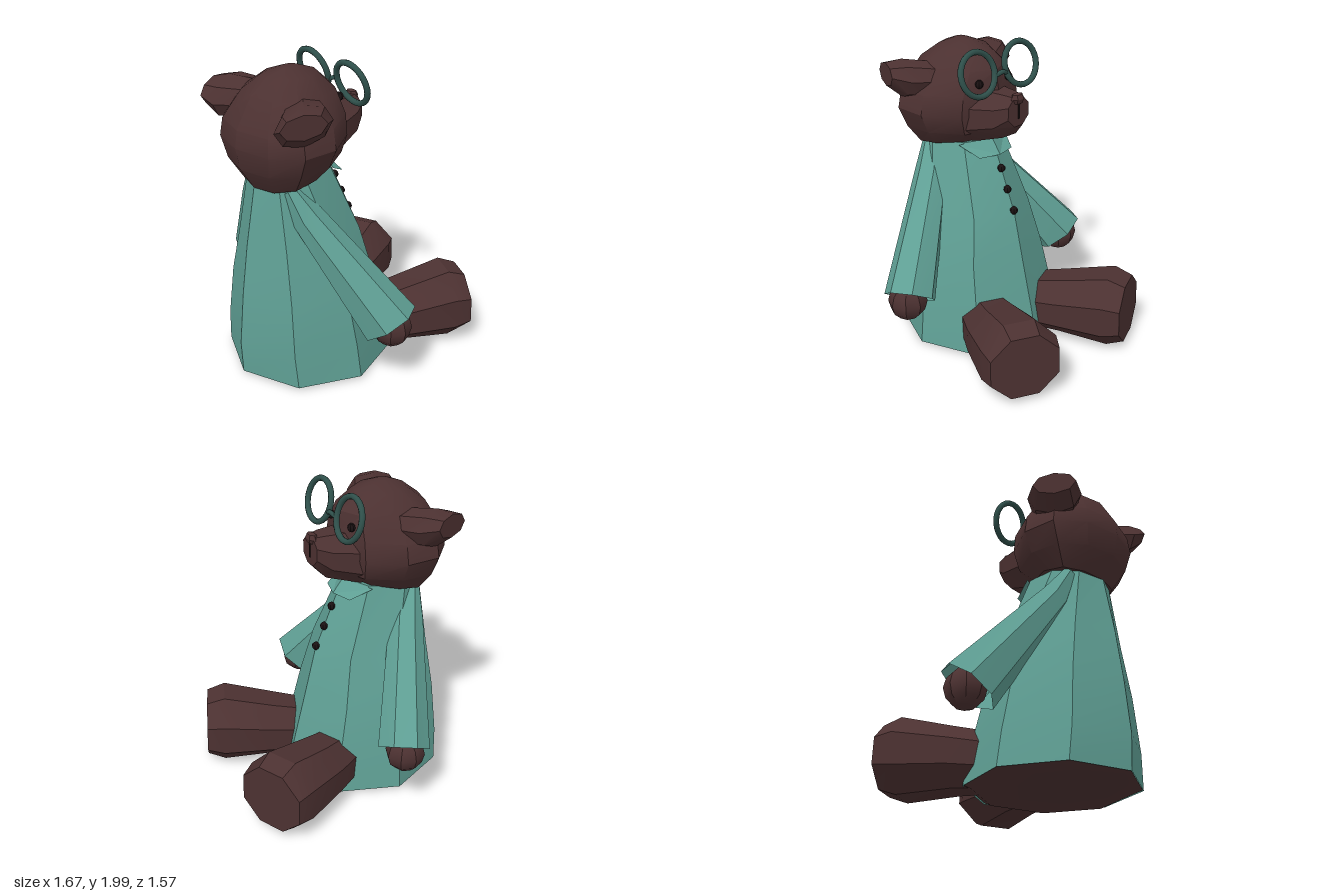
import * as THREE from 'three';
import { toCreasedNormals } from 'three/addons/utils/BufferGeometryUtils.js';

const V = (x, y, z) => new THREE.Vector3(x, y, z);
const mat = (color, side = THREE.FrontSide) => new THREE.MeshStandardMaterial({ color, side });
const fur = mat(0x4c3131);
const cloth = mat(0x5f9f94, THREE.DoubleSide);
const dark = mat(0x1a1112);
const frame = mat(0x2f504b);

// Closed loop of points around c, spanned by u and v
function ring(c, u, v, n, phase = 0) {
  return Array.from({ length: n }, (_, i) => {
    const a = phase + (i / n) * Math.PI * 2;
    return c.clone().addScaledVector(u, Math.cos(a)).addScaledVector(v, Math.sin(a));
  });
}

// Level loop whose front and back have their own depth and height
function levelRing([yBack, yFront, rx, zFront, zMid, zBack], n) {
  return Array.from({ length: n }, (_, i) => {
    const a = (i / n) * Math.PI * 2, c = Math.cos(a);
    const z = zMid + c * (c > 0 ? zBack - zMid : zMid - zFront);
    return V(rx * Math.sin(a), yBack + (yFront - yBack) * (1 - c) / 2, z);
  });
}

// Rings of [centre, width, height] set square to a direction
function limbRings(dir, list, n, phase) {
  const d = dir.clone().normalize();
  const u = V(0, 1, 0).cross(d).normalize(), v = d.clone().cross(u);
  return list.map(([c, w, h]) => ring(c, u.clone().multiplyScalar(w), v.clone().multiplyScalar(h), n, phase));
}

// Skin between loops, with optional flat caps
function loft(name, material, rings, capStart = true, capEnd = true) {
  const pos = [], n = rings[0].length;
  const tri = (...p) => p.forEach(q => pos.push(q.x, q.y, q.z));
  for (let k = 0; k < rings.length - 1; k++) {
    const a = rings[k], b = rings[k + 1];
    for (let i = 0; i < n; i++) {
      const j = (i + 1) % n;
      tri(a[i], a[j], b[j]);
      tri(a[i], b[j], b[i]);
    }
  }
  const first = rings[0], last = rings[rings.length - 1];
  for (let i = 1; i < n - 1; i++) {
    if (capStart) tri(first[0], first[i + 1], first[i]);
    if (capEnd) tri(last[0], last[i], last[i + 1]);
  }
  const g = new THREE.BufferGeometry();
  g.setAttribute('position', new THREE.Float32BufferAttribute(pos, 3));
  return named(name, toCreasedNormals(g, 0.55), material);
}

function named(name, geometry, material) {
  const m = new THREE.Mesh(geometry, material);
  m.name = name;
  return m;
}

function ball(name, material, p, sx, sy = sx, sz = sx, w = 8, h = 6) {
  const g = toCreasedNormals(new THREE.SphereGeometry(1, w, h).scale(sx, sy, sz), 0.55);
  const m = named(name, g, material);
  m.position.copy(p);
  return m;
}

// Parts that come in pairs, made for the +x side
function sideParts() {
  const g = new THREE.Group();
  g.add(loft('sleeve', cloth, limbRings(V(0.45, -0.75, -0.3), [
    [V(0.17, 1.3, 0.5), 0.06, 0.05],
    [V(0.24, 1.12, 0.43), 0.11, 0.1],
    [V(0.68, 0.475, 0.15), 0.165, 0.19],
  ], 7, 0.3), true, false));
  g.add(ball('hand', fur, V(0.7, 0.46, 0.15), 0.125));

  g.add(loft('leg', fur, limbRings(V(0.4, 0.03, -0.9), [
    [V(0.22, 0.2, -0.09), 0.2, 0.19],
    [V(0.3, 0.225, -0.27), 0.235, 0.21],
    [V(0.435, 0.26, -0.58), 0.265, 0.265],
    [V(0.485, 0.26, -0.685), 0.24, 0.22],
  ], 8, Math.PI / 8)));

  g.add(loft('ear', fur, [
    ring(V(0.2, 1.75, 0.42), V(0.04, 0.01, -0.13), V(0, 0.11, 0), 8),
    ring(V(0.36, 1.76, 0.54), V(0.06, 0.02, -0.165), V(0, 0.125, 0), 8),
    ring(V(0.44, 1.79, 0.6), V(0.05, 0.01, -0.13), V(0, 0.075, 0), 8),
  ]));
  g.add(ball('eye', dark, V(0.125, 1.77, 0.085), 0.026, 0.028, 0.026));

  const rim = named('glassesRim', new THREE.TorusGeometry(0.135, 0.019, 8, 28), frame);
  rim.position.set(0.18, 1.855, 0.035);
  rim.rotation.x = 0.27;
  g.add(rim);

  // Folded collar flap
  const flap = new THREE.BufferGeometry().setFromPoints([
    V(0, 1.29, 0.03), V(0.2, 1.36, 0.2), V(0, 1.39, 0.11),
    V(0, 1.29, 0.03), V(0.14, 1.29, 0.07), V(0.2, 1.36, 0.2),
  ]);
  flap.computeVertexNormals();
  g.add(named('collarFlap', flap, cloth));
  return g;
}

export function createModel() {
  const model = new THREE.Group();
  model.name = 'seatedBear';

  // Coat: yBack, yFront, half width, zFront, zMid, zBack
  const coat = [
    [0.03, 0.03, 0.53, -0.31, 0.24, 0.78],
    [0.25, 0.25, 0.5, -0.27, 0.25, 0.79],
    [0.6, 0.6, 0.44, -0.18, 0.28, 0.755],
    [0.92, 0.92, 0.345, -0.1, 0.31, 0.71],
    [1.3, 1.38, 0.23, 0.1, 0.42, 0.64],
  ].map(r => levelRing(r, 8));
  model.add(loft('coat', cloth, coat, false, true));
  model.add(loft('seat', fur, [
    levelRing([0.01, 0.01, 0.48, -0.25, 0.24, 0.7], 8),
    levelRing([0.035, 0.035, 0.525, -0.3, 0.24, 0.775], 8),
  ]));

  // Head and muzzle
  model.add(loft('head', fur, [
    [1.29, 1.37, 0.26, 0.16, 0.46, 0.64],
    [1.43, 1.45, 0.35, 0.06, 0.46, 0.73],
    [1.57, 1.57, 0.41, 0.04, 0.46, 0.76],
    [1.68, 1.7, 0.385, 0.04, 0.46, 0.745],
    [1.86, 1.84, 0.26, 0.07, 0.42, 0.64],
    [1.95, 1.94, 0.15, 0.18, 0.37, 0.52],
    [1.99, 1.985, 0.04, 0.3, 0.36, 0.42],
  ].map(r => levelRing(r, 10))));
  model.add(loft('muzzle', fur, limbRings(V(0, 0, -1), [
    [V(0, 1.54, 0.18), 0.24, 0.19],
    [V(0, 1.58, -0.05), 0.15, 0.15],
    [V(0, 1.62, -0.13), 0.095, 0.1],
  ], 8, Math.PI / 8)));
  model.add(ball('nose', fur, V(0, 1.7, -0.12), 0.055, 0.04, 0.035, 6, 4));
  const mouth = named('mouth', new THREE.BoxGeometry(0.012, 0.09, 0.012), dark);
  mouth.position.set(0, 1.62, -0.13);
  model.add(mouth);

  // Glasses bridge
  const arch = new THREE.CatmullRomCurve3([V(-0.05, 1.82, 0.025), V(0, 1.84, 0.01), V(0.05, 1.82, 0.025)]);
  model.add(named('glassesBridge', new THREE.TubeGeometry(arch, 8, 0.015, 6), frame));

  // Coat buttons
  [[1.2, 0.02], [1.07, -0.035], [0.94, -0.095]].forEach(([y, z]) =>
    model.add(ball('button', dark, V(0, y, z), 0.027)));

  // Left and right pairs
  const left = sideParts(), right = sideParts();
  left.name = 'leftSide';
  right.name = 'rightSide';
  right.scale.x = -1;
  model.add(left, right);
  return model;
}
